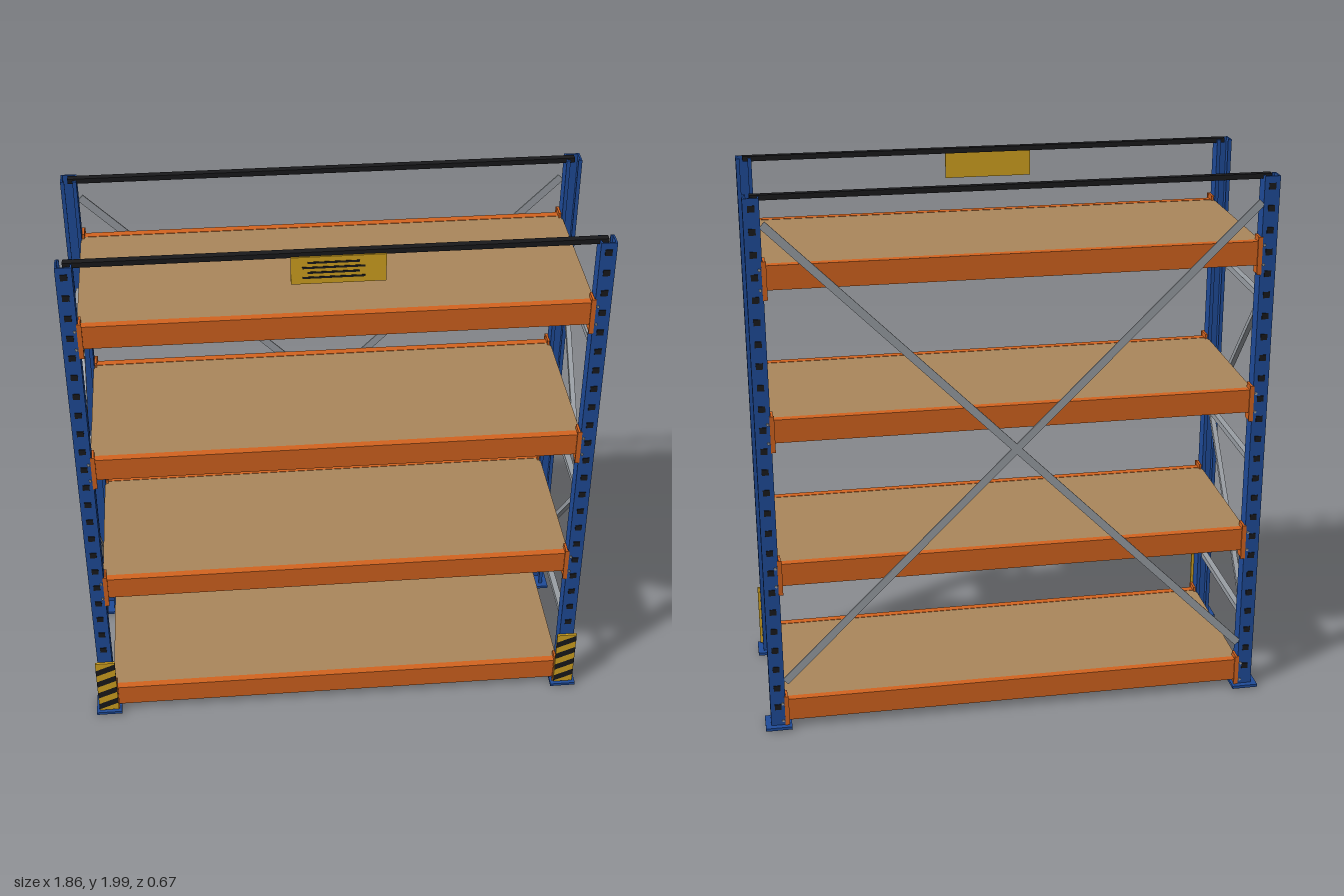
import * as THREE from 'three';

const mat = (name, color) => {
  const m = new THREE.MeshStandardMaterial({ color });
  m.name = name;
  return m;
};

export function createModel() {
  const blue = mat('uprightBlue', 0x1f4c9a);
  const orange = mat('beamOrange', 0xd4641f);
  const tan = mat('deckTan', 0xab875c);
  const grey = mat('steelGrey', 0x9a9fa5);
  const yellow = mat('safetyYellow', 0xd4a420);
  const black = mat('black', 0x1a1a1c);

  const root = new THREE.Group();
  root.name = 'storageRack';

  const add = (parent, name, geo, material, x = 0, y = 0, z = 0) => {
    const mesh = new THREE.Mesh(geo, material);
    mesh.name = name;
    mesh.position.set(x, y, z);
    parent.add(mesh);
    return mesh;
  };
  const box = (parent, name, material, w, h, d, x, y, z) =>
    add(parent, name, new THREE.BoxGeometry(w, h, d), material, x, y, z);
  const polygon = (pts) => new THREE.Shape(pts.map(([x, y]) => new THREE.Vector2(x, y)));
  const extrude = (pts, depth) =>
    new THREE.ExtrudeGeometry(polygon(pts), { depth, bevelEnabled: false });

  const postX = 0.882, postZ = 0.285, half = 0.0275;
  const levels = [0, 1, 2, 3].map((i) => 0.124 + i * 0.547); // beam tops

  // Channel profile, web outwards (+z once stood up), open towards the rack
  const h = half, t = 0.006, lip = 0.014;
  const channel = extrude([
    [-h, -h], [h, -h], [h, h], [lip, h], [lip, h - t], [h - t, h - t],
    [h - t, t - h], [t - h, t - h], [t - h, h - t], [-lip, h - t], [-lip, h], [-h, h],
  ], 1.975).rotateX(-Math.PI / 2);

  // Step beam profile in (z, y), ledge on the inner side for the deck
  const beamLength = 1.69;
  const stepBeam = extrude([
    [0.258, -0.085], [0.306, -0.085], [0.306, 0], [0.279, 0], [0.279, -0.027], [0.258, -0.027],
  ], beamLength).rotateY(-Math.PI / 2).translate(beamLength / 2, 0, 0);

  const slotGeo = new THREE.BoxGeometry(0.024, 0.022, 0.004);
  const boltGeo = new THREE.CylinderGeometry(0.005, 0.005, 0.006, 8).rotateX(Math.PI / 2);

  // One long side: two uprights, four beams and the top bar
  function makeSide(name) {
    const side = new THREE.Group();
    side.name = name;
    for (const s of [-1, 1]) {
      const x = s * postX;
      add(side, 'upright', channel, blue, x, 0.02, postZ);
      box(side, 'basePlate', blue, 0.096, 0.011, 0.096, x, 0.0185, postZ);
      for (let i = 0; i < 25; i++)
        add(side, 'uprightSlot', slotGeo, black, x, 1.96 - i * 0.0775, postZ + half + 0.001);
      for (const y of levels) {
        // Angle connector: flange on the face and plate beside the upright
        box(side, 'connectorFlange', orange, 0.016, 0.134, 0.005, s * 0.85, y - 0.05, 0.3135);
        box(side, 'connectorPlate', orange, 0.008, 0.134, 0.046, s * 0.849, y - 0.05, 0.289);
        for (const dy of [-0.012, -0.082])
          add(side, 'connectorBolt', boltGeo, grey, s * 0.865, y + dy, 0.314);
      }
    }
    for (const y of levels) add(side, 'beam', stepBeam, orange, 0, y, 0);
    box(side, 'topBar', black, 1.77, 0.018, 0.024, 0, 1.991, 0.28);
    root.add(side);
    return side;
  }
  makeSide('frontSide');
  makeSide('backSide').rotation.y = Math.PI;

  // Decks and the cross supports under them
  for (const y of levels) {
    box(root, 'deck', tan, 1.716, 0.025, 0.556, 0, y - 0.0135, 0);
    for (const x of [-0.43, 0, 0.43])
      box(root, 'deckSupport', grey, 0.034, 0.026, 0.52, x, y - 0.039, 0);
  }

  // Straight strut between two points, turned about one axis
  function strut(name, a, b, w, d) {
    const from = new THREE.Vector3(...a), to = new THREE.Vector3(...b);
    const dir = to.clone().sub(from);
    const mesh = add(root, name, new THREE.BoxGeometry(w, dir.length(), d), grey);
    mesh.position.copy(from).add(to).multiplyScalar(0.5);
    mesh.quaternion.setFromUnitVectors(new THREE.Vector3(0, 1, 0), dir.normalize());
  }

  // End frames: rungs and diagonals
  for (const s of [-1, 1]) {
    const x = s * postX;
    for (const y of [0.29, 0.922, 1.553])
      box(root, 'frameRung', grey, 0.022, 0.022, 0.53, x, y, 0);
    strut('frameDiagonal', [x, 0.915, 0.26], [x, 0.3, -0.26], 0.018, 0.018);
    strut('frameDiagonal', [x, 0.93, 0.26], [x, 1.545, -0.26], 0.018, 0.018);
    // Cross brace on the back
    strut('backBrace', [s * -0.85, 0.2, -0.309], [s * 0.85, 1.905, -0.309], 0.028, 0.005);
  }

  // Striped guards on the front uprights
  const stripe = new THREE.ShapeGeometry(polygon([
    [-0.037, 0], [0.037, 0.03], [0.037, 0.058], [-0.037, 0.028],
  ]));
  for (const s of [-1, 1]) {
    box(root, 'postGuard', yellow, 0.074, 0.242, 0.009, s * postX, 0.15, 0.3195);
    for (let i = 0; i < 4; i++)
      add(root, 'guardStripe', stripe, black, s * postX, 0.034 + i * 0.058, 0.325);
  }

  // Hanging load plate with plain bars
  box(root, 'loadPlate', yellow, 0.312, 0.1, 0.006, 0, 1.936, 0.296);
  for (let i = 0; i < 4; i++)
    box(root, 'loadPlateBar', black, i % 2 ? 0.205 : 0.17, 0.007, 0.002, -0.016, 1.965 - i * 0.0185, 0.2995);

  return root;
}
